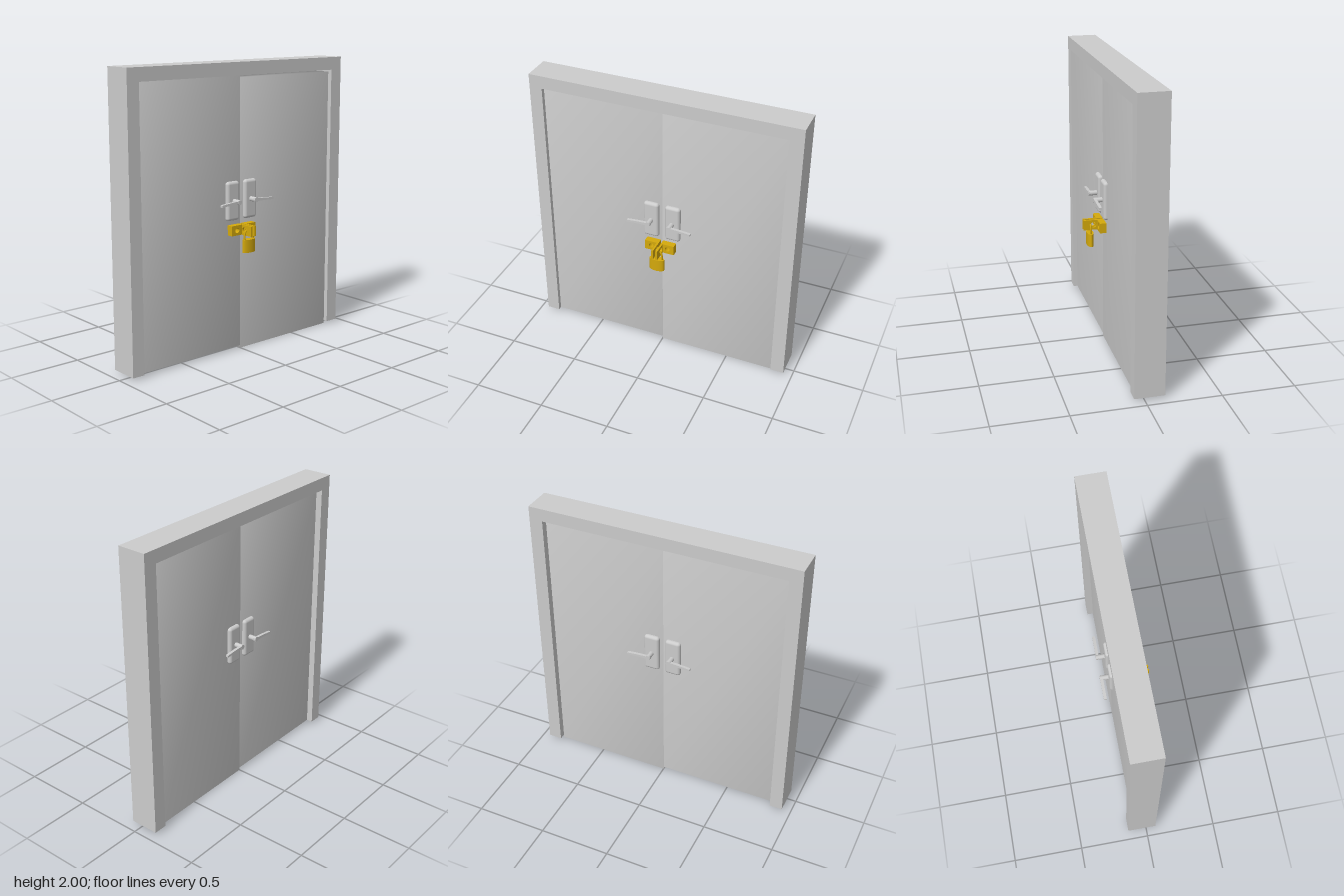
import * as THREE from 'three';
import { mergeVertices } from 'three/addons/utils/BufferGeometryUtils.js';
import { RoundedBoxGeometry } from 'three/addons/geometries/RoundedBoxGeometry.js';

const grey = new THREE.MeshStandardMaterial({ color: 0xcccccc });
const gold = new THREE.MeshStandardMaterial({ color: 0xd4a90c });

function add(parent, name, geometry, material, x = 0, y = 0, z = 0) {
  const mesh = new THREE.Mesh(geometry, material);
  mesh.name = name;
  mesh.position.set(x, y, z);
  parent.add(mesh);
  return mesh;
}

// Box whose corner normals are shared, giving a soft shaded panel
function softBox(w, h, d) {
  const box = new THREE.BoxGeometry(w, h, d);
  box.deleteAttribute('normal');
  box.deleteAttribute('uv');
  const g = mergeVertices(box);
  g.computeVertexNormals();
  return g;
}

// Flat plate with one round hole in the middle
function holedPlate(w, h, depth, r) {
  const s = new THREE.Shape([[-1, -1], [1, -1], [1, 1], [-1, 1]]
    .map(([a, b]) => new THREE.Vector2(a * w / 2, b * h / 2)));
  s.holes.push(new THREE.Path().absarc(0, 0, r, 0, Math.PI * 2, true));
  return new THREE.ExtrudeGeometry(s, { depth, bevelEnabled: false, curveSegments: 12 });
}

// Escutcheon plate, spindle and lever; side = +1/-1 in x, face = +1/-1 in z
function handleSet(side, face) {
  const g = new THREE.Group();
  g.name = (face > 0 ? 'front' : 'back') + (side > 0 ? 'Left' : 'Right') + 'Handle';
  add(g, 'handlePlate', new RoundedBoxGeometry(0.11, 0.27, 0.05, 4, 0.02), grey, side * 0.078, 1.065, 0);
  const spindle = add(g, 'spindle', new THREE.CylinderGeometry(0.017, 0.017, 0.09, 16), grey, side * 0.076, 1.065, 0.04);
  spindle.rotation.x = Math.PI / 2;
  // lever: a slim bar that bows and tapers towards its tip
  const lever = new THREE.BoxGeometry(0.17, 0.02, 0.02, 8, 1, 1);
  const p = lever.attributes.position;
  for (let i = 0; i < p.count; i++) {
    const t = (p.getX(i) * side + 0.085) / 0.17;
    p.setY(i, p.getY(i) * (1 - 0.3 * t) - 0.008 * t * t);
  }
  lever.computeVertexNormals();
  add(g, 'lever', lever, grey, side * 0.146, 1.065, 0.074);
  g.position.z = face > 0 ? 0.04 : -0.09;
  return g;
}

// Reverses a group front to back, keeping triangles facing outward
function mirrorZ(group) {
  group.scale.z = -1;
  return group;
}

export function createModel() {
  const model = new THREE.Group();
  model.name = 'doubleDoor';

  // Frame: two posts and a lintel, open at the floor
  const outline = [[-0.94, 0.02], [-0.85, 0.02], [-0.85, 1.91], [0.845, 1.91],
    [0.845, 0.02], [0.94, 0.02], [0.94, 2], [-0.94, 2]];
  const frameShape = new THREE.Shape(outline.map(([x, y]) => new THREE.Vector2(x, y)));
  add(model, 'doorFrame', new THREE.ExtrudeGeometry(frameShape, { depth: 0.205, bevelEnabled: false }), grey, 0, 0, -0.135);

  // Door leaves, one hanging slightly lower
  add(model, 'rightDoor', softBox(0.848, 1.89, 0.13), grey, -0.426, 0.965, -0.025);
  add(model, 'leftDoor', softBox(0.844, 1.895, 0.13), grey, 0.422, 0.9475, -0.025);

  // Handles on both faces
  for (const side of [-1, 1]) {
    model.add(handleSet(side, 1));
    model.add(mirrorZ(handleSet(side, -1)));
  }

  // Hasp: a plate on each leaf with a projecting drilled tab
  const hasp = new THREE.Group();
  hasp.name = 'hasp';
  add(hasp, 'rightHaspPlate', holedPlate(0.095, 0.07, 0.045, 0.018), gold, -0.066, 0.865, 0.04);
  add(hasp, 'leftHaspPlate', holedPlate(0.095, 0.07, 0.045, 0.018), gold, 0.053, 0.865, 0.04);
  for (const x of [-0.026, 0.004]) {
    const tab = add(hasp, 'haspTab', holedPlate(0.14, 0.07, 0.014, 0.02), gold, x, 0.865, 0.11);
    tab.rotation.y = Math.PI / 2;
  }
  model.add(hasp);

  // Padlock: oval body and an arched shackle through the tabs
  const padlock = new THREE.Group();
  padlock.name = 'padlock';
  padlock.position.set(-0.004, 0, 0.132);
  const body = add(padlock, 'padlockBody', new THREE.CylinderGeometry(0.054, 0.054, 0.09, 32), gold, 0, 0.76, 0);
  body.scale.z = 0.44;
  const arch = [[-0.036, 0.79], [-0.036, 0.84], [-0.027, 0.863], [0, 0.872],
    [0.027, 0.863], [0.036, 0.84], [0.036, 0.79]];
  const path = new THREE.CatmullRomCurve3(arch.map(([x, y]) => new THREE.Vector3(x, y, 0)));
  add(padlock, 'shackle', new THREE.TubeGeometry(path, 32, 0.007, 10), gold);
  model.add(padlock);

  return model;
}
